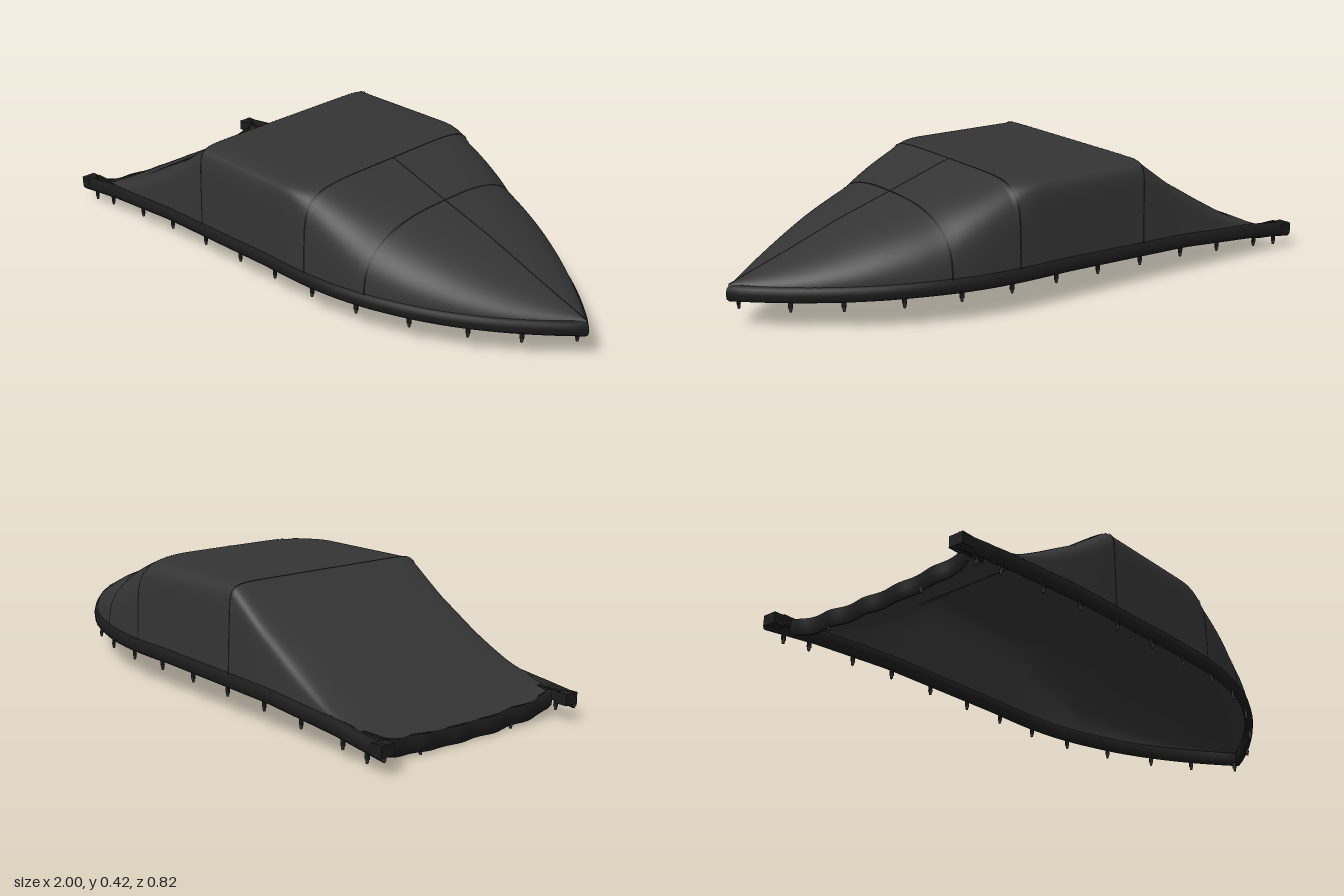
import * as THREE from 'three';

const mat = (name, color, side = THREE.DoubleSide) => {
  const m = new THREE.MeshStandardMaterial({ color, side });
  m.name = name;
  return m;
};
const canvas = mat('charcoal canvas', 0x343434);
const hemMat = mat('dark hem', 0x1b1b1b);
const seamMat = mat('black stitching', 0x141414);
const clipMat = mat('grey clip', 0x303030, THREE.FrontSide);

// Linear lookup in a table of [x, value]
const lookup = (table, x) => {
  let i = 0;
  while (i < table.length - 2 && x > table[i + 1][0]) i++;
  const [x0, v0] = table[i], [x1, v1] = table[i + 1];
  return v0 + (v1 - v0) * THREE.MathUtils.clamp((x - x0) / (x1 - x0), 0, 1);
};
const RIM = [[-1, 0.09], [-0.8, 0.115], [-0.5, 0.138], [0, 0.15], [0.5, 0.15], [1, 0.14]];
const ROOF = [[-0.93, 0.055], [-0.88, 0.09], [-0.82, 0.122], [-0.75, 0.15], [-0.6, 0.235], [-0.45, 0.317],
  [-0.31, 0.415], [0.2, 0.415], [0.42, 0.342], [0.6, 0.285], [0.8, 0.21], [0.99, 0.142]];
const ROUND = [[-0.93, 2], [-0.88, 3], [-0.6, 6], [-0.31, 14], [0.1, 14], [0.2, 5.5], [0.42, 2.8], [0.8, 2], [1, 1.7]];
const BOW = 0.99;
const rimTop = (x) => lookup(RIM, x);
const halfWidth = (x) => 0.398 * (1 - Math.pow(Math.max(0, (x - 0.1) / (BOW - 0.1)), 2.3));

// Point on the cover: u runs -1..1 from one gunwale over the roof to the other
function coverPoint(x, u, off = 0, w = halfWidth(x)) {
  const e = 2 / lookup(ROUND, x), a = u * Math.PI / 2;
  const s = Math.pow(Math.abs(Math.sin(a)), e) * Math.sign(u);
  const c = Math.pow(Math.max(0, Math.cos(a)), e);
  const base = rimTop(x) - 0.008;
  const h = lookup(ROOF, x) - base;
  return new THREE.Vector3(x, base + (h + off) * c, (w + off) * s * (1 - 0.02 * c));
}

// Skin a list of equal-length rings
function loft(rings, closed = false) {
  const n = rings[0].length, pos = [], idx = [];
  rings.forEach((r) => r.forEach((p) => pos.push(p.x, p.y, p.z)));
  for (let i = 0; i < rings.length - 1; i++) {
    for (let j = 0; j < (closed ? n : n - 1); j++) {
      const k = (j + 1) % n, a = i * n + j, b = i * n + k, c = a + n, d = b + n;
      idx.push(a, b, c, b, d, c);
    }
  }
  const g = new THREE.BufferGeometry();
  g.setAttribute('position', new THREE.Float32BufferAttribute(pos, 3));
  g.setIndex(idx);
  g.computeVertexNormals();
  return g;
}

const range = (n, f) => Array.from({ length: n + 1 }, (_, i) => f(i / n));

export function createModel() {
  const model = new THREE.Group();
  model.name = 'boatCover';
  const add = (name, geo, material, parent = model) => {
    const m = new THREE.Mesh(geo, material);
    m.name = name;
    parent.add(m);
    return m;
  };
  const box = (name, size, at, material, parent) =>
    add(name, new THREE.BoxGeometry(...size), material, parent).position.set(...at);

  // Main canvas, with tight stations beside the roof breaks
  const stations = range(62, (t) => -0.88 + t * (BOW - 0.88 - 0.0 + 1.76 - BOW + BOW - 0.0 - 0.0 - 0.0) )
    .filter((x) => x < BOW - 0.01);
  stations.push(-0.32, -0.31, -0.3, 0.19, 0.2, 0.21, BOW - 0.005, BOW);
  stations.sort((a, b) => a - b);
  const section = (x, off, w) => range(48, (t) => coverPoint(x, t * 2 - 1, off, w));
  add('cover', loft(stations.map((x) => section(x))), canvas);

  // Stern tongue between the two corner slots
  add('sternPanel', loft([-0.88, -0.9, -0.915, -0.93].map((x) => section(x, 0, 0.365))), canvas);

  // Seams across the cover and along the foredeck
  for (const x of [-0.31, 0.19, 0.42]) {
    add('crossSeam', loft([x - 0.003, x + 0.003].map((s) => section(s, 0.002))), seamMat);
  }
  const ridge = [-0.003, 0.003].map((z) => range(40, (t) => {
    const p = coverPoint(0.19 + t * (BOW - 0.19), 0, 0.002);
    return p.setZ(z);
  }));
  add('ridgeSeam', loft(ridge), seamMat);

  // One side: padded gunwale hem, corner loop and clips
  const side = new THREE.Group();
  side.name = 'gunwaleSide';
  const profile = [[-0.018, -0.004], [-0.004, 0.002], [0.006, -0.008], [0.01, -0.025], [0.008, -0.042],
    [0, -0.05], [-0.014, -0.048], [-0.02, -0.03]];
  const rings = range(70, (t) => {
    const x = -1 + t * (BOW + 1);
    const slope = (halfWidth(x + 0.001) - halfWidth(x - 0.001)) / 0.002;
    const dir = t === 1 ? new THREE.Vector2(1, 0) : new THREE.Vector2(-slope, 1).normalize();
    const thin = x < -0.87 ? 0.5 : 1;
    return profile.map(([o, y]) => new THREE.Vector3(
      x + dir.x * o, rimTop(x) + y, Math.max(0, halfWidth(x) + dir.y * o * (o < 0 ? thin : 1))));
  });
  add('gunwaleHem', loft(rings, true), hemMat, side);
  box('cornerLoopEnd', [0.042, 0.036, 0.05], [-0.979, 0.072, 0.383], hemMat, side);
  box('cornerLoopInner', [0.09, 0.032, 0.012], [-0.92, 0.078, 0.364], hemMat, side);

  // Hanging clip: short strap with a tapered hook
  const clip = (x, y, z, parent, turn = 0) => {
    const g = new THREE.Group();
    g.name = 'clip';
    box('clipStrap', [0.014, 0.022, 0.006], [0, -0.006, 0], hemMat, g);
    const hook = add('clipHook', new THREE.CylinderGeometry(0.007, 0.004, 0.018, 8), clipMat, g);
    hook.position.y = -0.02;
    g.position.set(x, y, z);
    g.rotation.y = turn;
    parent.add(g);
  };
  for (const x of [-0.93, -0.83, -0.65, -0.48, -0.3, -0.12, 0.05, 0.22, 0.39, 0.56, 0.72, 0.85]) {
    const slope = (halfWidth(x + 0.01) - halfWidth(x - 0.01)) / 0.02;
    clip(x, rimTop(x) - 0.05, halfWidth(x) - 0.003, side, -Math.atan(slope));
  }
  clip(-0.93, 0.03, 0.19, side, Math.PI / 2);
  model.add(side);
  const other = side.clone();
  other.scale.z = -1;
  model.add(other);
  clip(0.96, 0.09, 0, model, Math.PI / 2);

  // Sagging stern hem with a gentle ripple
  const hemRings = range(48, (t) => {
    const z = (t * 2 - 1) * 0.365, s = z / 0.365;
    const base = rimTop(-0.93) - 0.008;
    const y = base + (lookup(ROOF, -0.93) - base) * Math.sqrt(Math.max(0, 1 - s * s)) + 0.003 * Math.sin(z * 40) * s;
    const x = -0.93 + 0.004 * Math.sin(z * 45);
    return [[-0.006, 0.002], [0.006, 0.002], [0.009, -0.025], [0.005, -0.051], [-0.005, -0.051], [-0.009, -0.025]]
      .map(([dx, dy]) => new THREE.Vector3(x + dx, y + dy, z));
  });
  add('sternHem', loft(hemRings, true), hemMat);
  return model;
}
